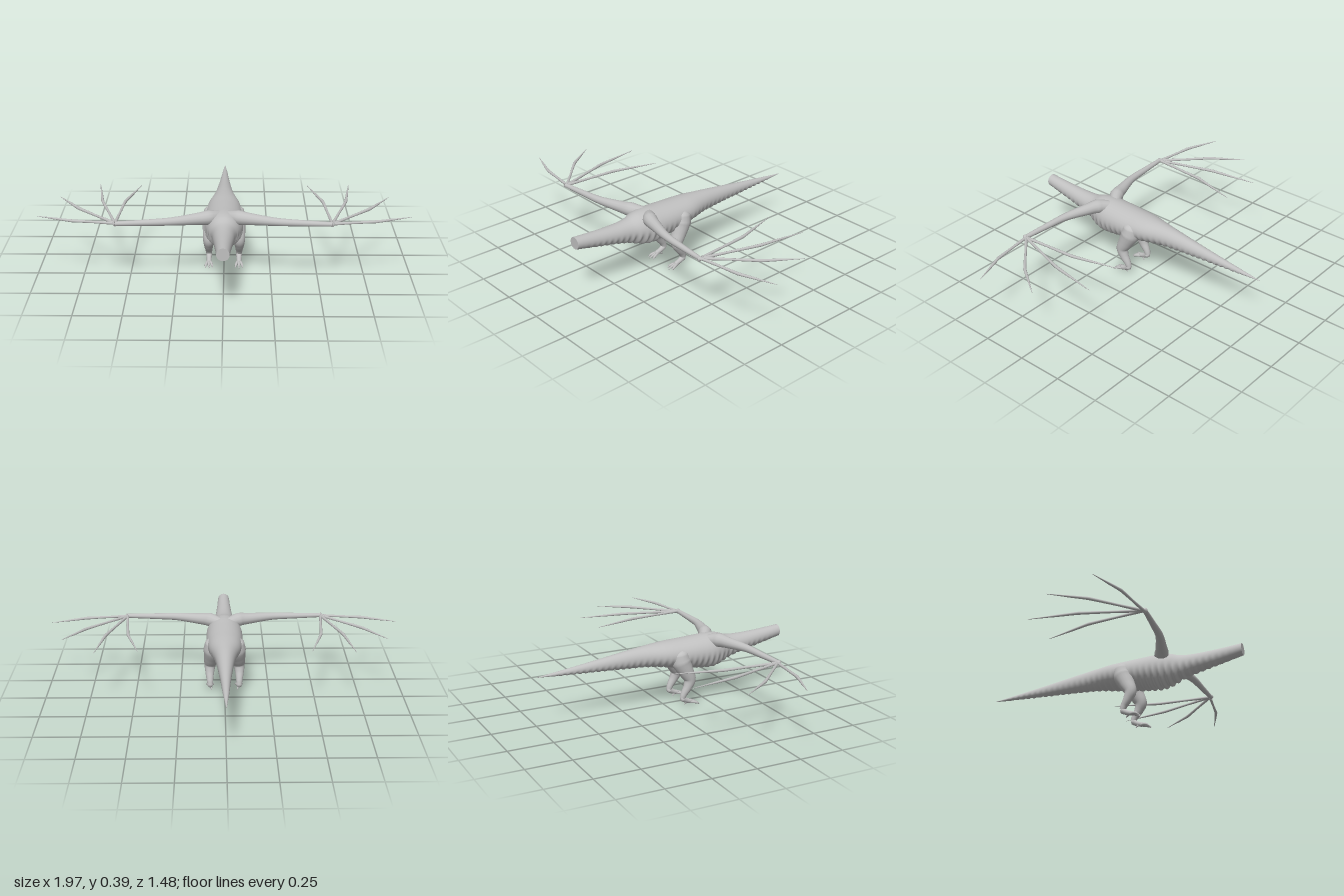
import * as THREE from 'three';

const hide = new THREE.MeshStandardMaterial({ color: 0xc0c0c0 });
hide.name = 'greyHide';

// Skin a list of rings (arrays of Vector3, equal length) with smooth normals
function skin(rings, name) {
  const n = rings[0].length, pos = [], idx = [];
  rings.forEach(r => r.forEach(p => pos.push(p.x, p.y, p.z)));
  for (let i = 0; i < rings.length - 1; i++) {
    for (let j = 0; j < n; j++) {
      const a = i * n + j, b = i * n + (j + 1) % n;
      idx.push(a, b, a + n, b, b + n, a + n);
    }
  }
  const g = new THREE.BufferGeometry();
  g.setAttribute('position', new THREE.Float32BufferAttribute(pos, 3));
  g.setIndex(idx);
  g.computeVertexNormals();
  const m = new THREE.Mesh(g, hide);
  m.name = name;
  return m;
}

// Tapered limb through points [x, y, z, radius]; side mirrors x
function limb(points, side, name, steps = 24, sides = 14, curved = true) {
  const at = points.map(p => new THREE.Vector3(p[0] * side, p[1], p[2]));
  const curve = new THREE.CatmullRomCurve3(at, false, 'catmullrom', curved ? 0.5 : 0.15);
  const rings = [];
  const ref = new THREE.Vector3(0, 1, 0);
  const first = curve.getTangent(0);
  if (Math.abs(first.y) > 0.6) ref.set(1, 0, 0);
  for (let i = 0; i <= steps; i++) {
    const t = i / steps, f = t * (points.length - 1);
    const k = Math.min(Math.floor(f), points.length - 2);
    const r = THREE.MathUtils.lerp(points[k][3], points[k + 1][3], f - k);
    const c = curve.getPoint(t), w = curve.getTangent(t);
    const u = new THREE.Vector3().crossVectors(ref, w).normalize();
    const v = new THREE.Vector3().crossVectors(w, u);
    const ring = [];
    for (let j = 0; j < sides; j++) {
      const a = j / sides * Math.PI * 2;
      ring.push(c.clone().addScaledVector(u, r * Math.cos(a)).addScaledVector(v, r * Math.sin(a)));
    }
    rings.push(ring);
  }
  return skin(rings, name);
}

// Body stations from tail tip to neck: [z, top, bottom, half width]
const stations = [
  [-0.74, 0.274, 0.272, 0.001], [-0.6, 0.291, 0.264, 0.014],
  [-0.4, 0.318, 0.254, 0.029], [-0.2, 0.346, 0.244, 0.048],
  [-0.1, 0.357, 0.238, 0.064], [0, 0.365, 0.224, 0.088],
  [0.1, 0.369, 0.205, 0.099], [0.2, 0.374, 0.194, 0.102],
  [0.28, 0.378, 0.188, 0.1], [0.34, 0.373, 0.199, 0.085],
  [0.4, 0.355, 0.222, 0.063], [0.48, 0.35, 0.243, 0.053],
  [0.6, 0.355, 0.268, 0.042], [0.742, 0.366, 0.299, 0.033],
];

function buildBody() {
  const profile = new THREE.CatmullRomCurve3(
    stations.map(s => new THREE.Vector3(s[0], s[1], s[2])), false, 'catmullrom');
  const widths = new THREE.CatmullRomCurve3(
    stations.map(s => new THREE.Vector3(s[0], s[3], 0)), false, 'catmullrom');
  const rings = [], steps = 300, sides = 32;
  for (let i = 0; i <= steps; i++) {
    const { x: z, y: top, z: bottom } = profile.getPoint(i / steps);
    const w = Math.max(widths.getPoint(i / steps).y, 0.001);
    // scaly ridges across the underside, strongest on the belly
    const amp = 0.0025 * THREE.MathUtils.smoothstep(z, -0.72, -0.5) * THREE.MathUtils.smoothstep(0.74 - z, 0, 0.2)
      + 0.004 * Math.exp(-(((z - 0.3) / 0.13) ** 2));
    const ripple = amp * Math.sin(z * Math.PI * 2 / 0.036);
    const mid = (top + bottom) / 2, h = (top - bottom) / 2;
    const ring = [];
    for (let j = 0; j < sides; j++) {
      const a = j / sides * Math.PI * 2, c = Math.cos(a), s = Math.sin(a);
      const under = ripple * THREE.MathUtils.smoothstep(-s, -0.1, 0.6);
      ring.push(new THREE.Vector3(c * (w + under), mid + s * (h + under), z));
    }
    rings.push(ring);
  }
  return skin(rings, 'body');
}

// Outer bones of the wing: middle joint and tip, as [x, z]
const fingers = [
  [[0.79, 0.353], [0.985, 0.283]],
  [[0.775, 0.176], [0.898, 0.0]],
  [[0.658, 0.07], [0.7, -0.2]],
  [[0.535, 0.075], [0.465, -0.185]],
];

function buildWing(side, label) {
  const wing = new THREE.Group();
  wing.name = label + 'Wing';
  wing.add(limb([
    [0.02, 0.345, 0.27, 0.03], [0.08, 0.353, 0.31, 0.039], [0.15, 0.353, 0.333, 0.031],
    [0.28, 0.353, 0.368, 0.021], [0.42, 0.351, 0.381, 0.016], [0.545, 0.35, 0.39, 0.012],
    [0.562, 0.35, 0.391, 0.015], [0.575, 0.35, 0.39, 0.003],
  ], side, label + 'Arm', 42));
  fingers.forEach(([m, t], i) => {
    const mix = (a, b, k) => a + (b - a) * k;
    wing.add(limb([
      [0.56, 0.35, 0.386, 0.009],
      [mix(0.56, m[0], 0.5), 0.35, mix(0.386, m[1], 0.5), 0.0065],
      [m[0], 0.35, m[1], 0.0085],
      [mix(m[0], t[0], 0.5), 0.349, mix(m[1], t[1], 0.5), 0.0055],
      [t[0], 0.348, t[1], 0.0008],
    ], side, label + 'WingFinger' + (i + 1), 16, 8, false));
  });
  return wing;
}

function buildLeg(side, label) {
  const leg = new THREE.Group();
  leg.name = label + 'Leg';
  leg.add(limb([
    [0.05, 0.335, 0.07, 0.012], [0.058, 0.3, 0.075, 0.05], [0.064, 0.255, 0.083, 0.055],
    [0.073, 0.205, 0.105, 0.044], [0.081, 0.155, 0.127, 0.034], [0.084, 0.115, 0.115, 0.026],
    [0.083, 0.075, 0.091, 0.019], [0.082, 0.05, 0.081, 0.016],
  ], side, label + 'Thigh', 42, 18));
  leg.add(limb([
    [0.082, 0.06, 0.084, 0.006], [0.082, 0.046, 0.084, 0.017],
    [0.082, 0.032, 0.108, 0.014], [0.082, 0.023, 0.135, 0.013], [0.082, 0.019, 0.143, 0.003],
  ], side, label + 'Foot', 20, 12));
  // three front toes and a short hind toe
  [-1, 0, 1].forEach(k => leg.add(limb([
    [0.082 + k * 0.004, 0.022, 0.126, 0.008], [0.082 + k * 0.012, 0.02, 0.148, 0.008],
    [0.082 + k * 0.017, 0.014, 0.166, 0.0065], [0.082 + k * 0.019, 0.004, 0.187 - Math.abs(k) * 0.008, 0.001],
  ], side, label + 'Toe' + (k + 2), 12, 8)));
  leg.add(limb([
    [0.08, 0.026, 0.12, 0.008], [0.076, 0.017, 0.108, 0.006], [0.073, 0.005, 0.098, 0.001],
  ], side, label + 'HindToe', 8, 8));
  return leg;
}

export function createModel() {
  const model = new THREE.Group();
  model.name = 'wingedReptile';
  model.add(buildBody());

  // flat end of the neck
  const cap = new THREE.Mesh(new THREE.CircleGeometry(1, 32), hide);
  cap.name = 'neckEnd';
  cap.scale.set(0.033, 0.0335, 1);
  cap.position.set(0, 0.3325, 0.742);
  model.add(cap);

  [[1, 'left'], [-1, 'right']].forEach(([side, label]) => {
    model.add(buildWing(side, label), buildLeg(side, label));
  });
  return model;
}
